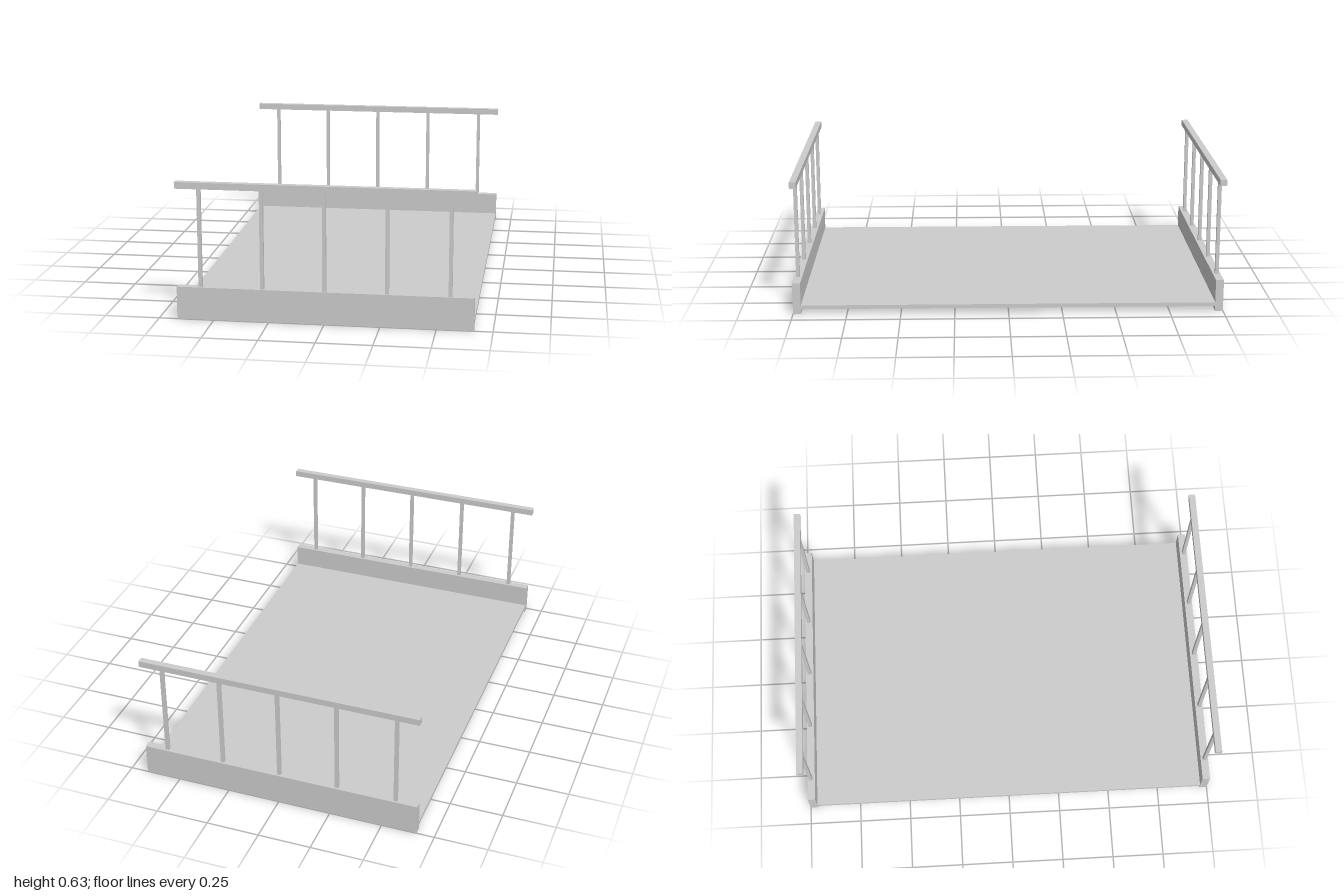
import * as THREE from 'three';

export function createModel() {
  const group = new THREE.Group();
  const material = new THREE.MeshStandardMaterial({ color: 0xcccccc, flatShading: true });

  // Box spanning y0..y1, centred on x and z
  const addBox = (parent, name, w, d, y0, y1, x, z) => {
    const mesh = new THREE.Mesh(new THREE.BoxGeometry(w, y1 - y0, d), material);
    mesh.name = name;
    mesh.position.set(x, (y0 + y1) / 2, z);
    parent.add(mesh);
  };

  const width = 1.333;

  // Thin slab between the two edge beams
  addBox(group, 'deck', width, 1.94, 0.024, 0.042, 0, 0);

  // Matching edge beam and railing at each end
  for (const side of [1, -1]) {
    const railing = new THREE.Group();
    railing.name = side > 0 ? 'frontRailing' : 'backRailing';
    addBox(railing, 'edgeBeam', width, 0.037, 0, 0.15, 0, side * 0.9815);
    addBox(railing, 'handrail', width, 0.031, 0.6, 0.63, 0, side * 0.9825);
    for (let i = -2; i <= 2; i++) {
      addBox(railing, 'post', 0.0167, 0.0167, 0.15, 0.6, i * 0.28, side * 0.982);
    }
    group.add(railing);
  }
  return group;
}
